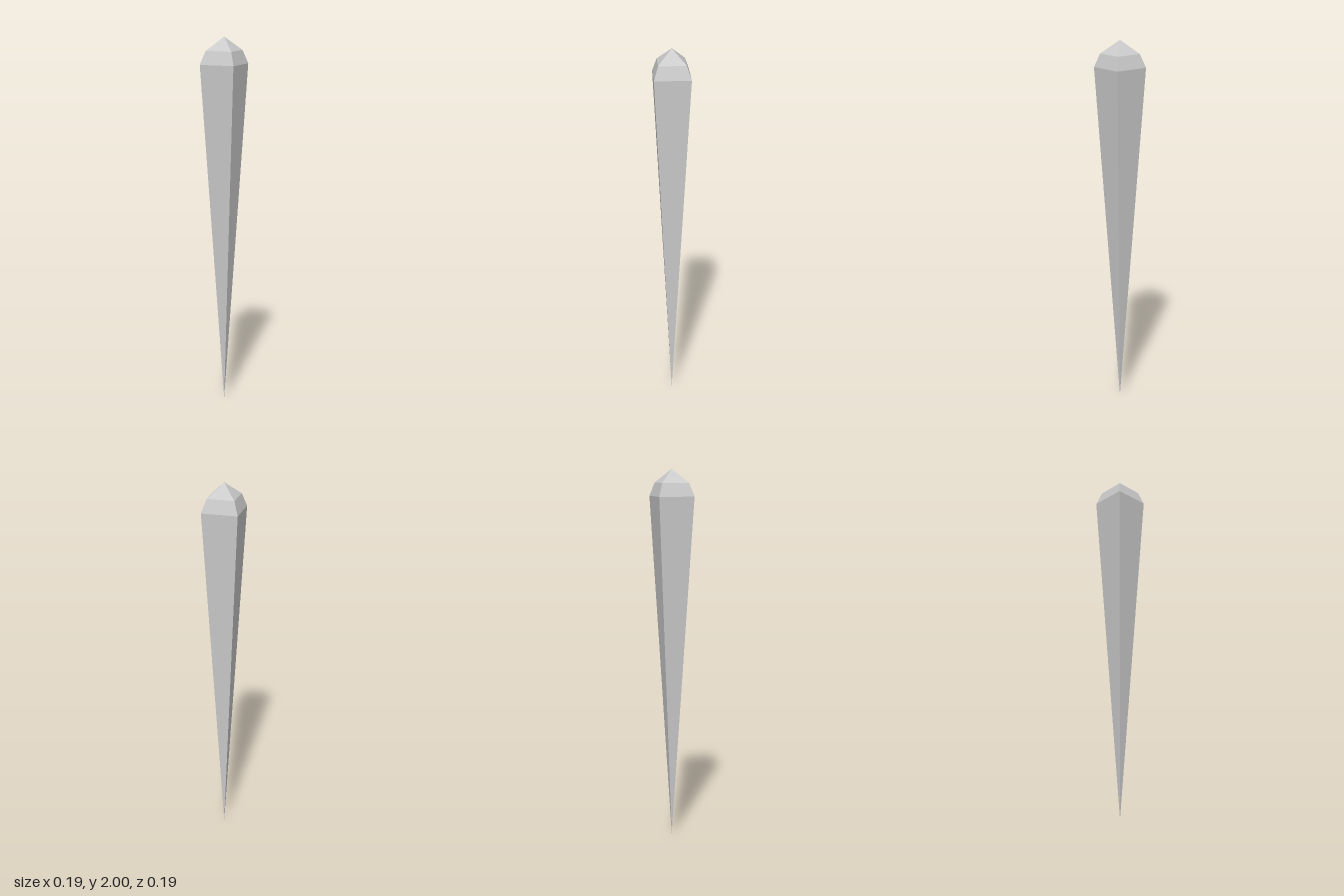
import * as THREE from 'three';

export function createModel() {
  const group = new THREE.Group();
  const material = new THREE.MeshStandardMaterial({ color: 0xcccccc, flatShading: true });

  // Profile as [half width, height], from the tip up to the peak
  const profile = [[0, 0], [0.096, 1.857], [0.073, 1.928], [0, 2]]
    .map(([half, y]) => new THREE.Vector2(half * Math.SQRT2, y));

  // Four-sided tapering spike with a faceted cap, sides square to the axes
  const spike = new THREE.Mesh(new THREE.LatheGeometry(profile, 4, Math.PI / 4), material);
  spike.name = 'spike';
  group.add(spike);

  return group;
}
